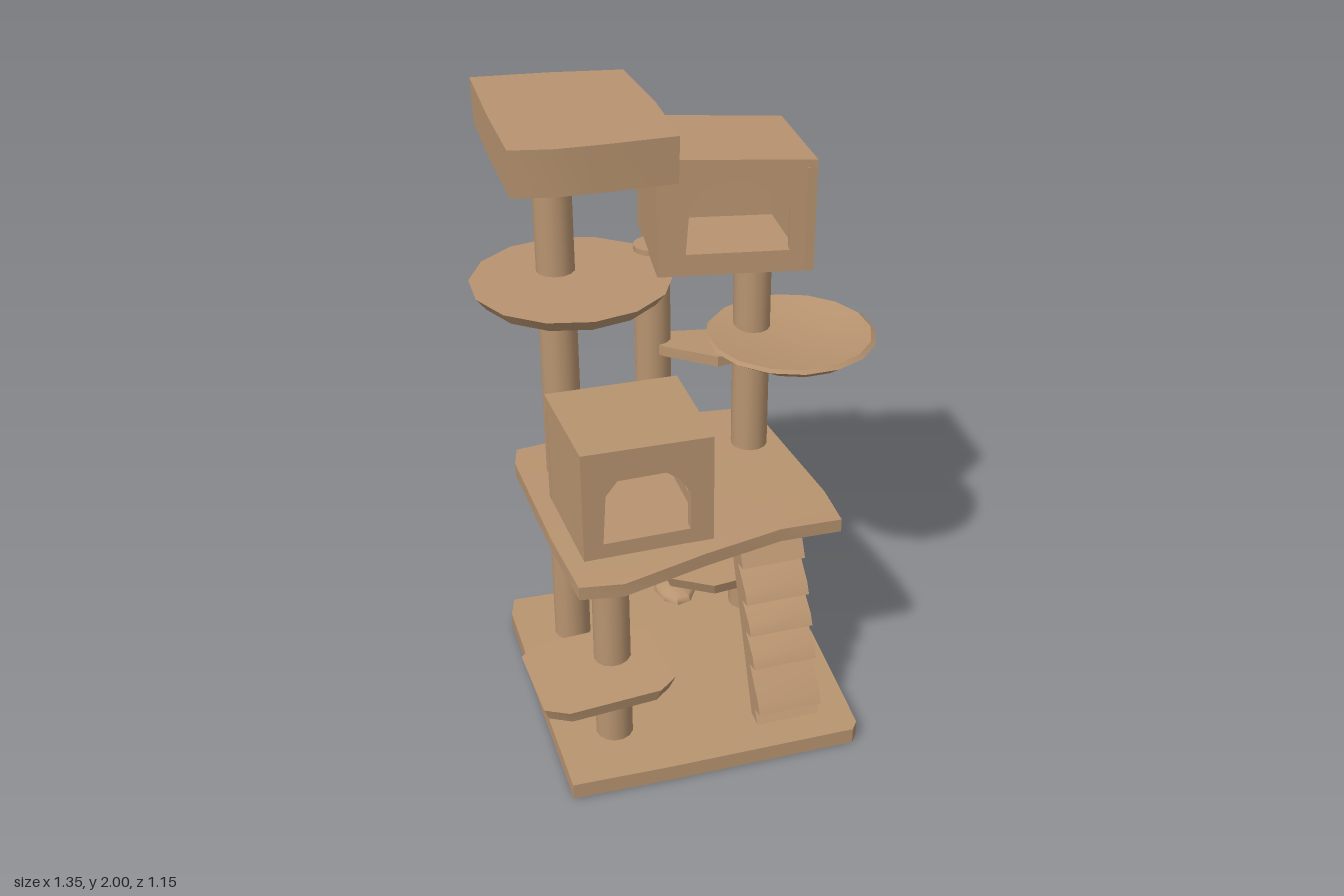
import * as THREE from 'three';
import { toCreasedNormals } from 'three/addons/utils/BufferGeometryUtils.js';

export function createModel() {
  const model = new THREE.Group();
  const carpet = new THREE.MeshStandardMaterial({ color: 0xb89470 });
  carpet.name = 'tan carpet';

  function add(geometry, name, parent = model) {
    const mesh = new THREE.Mesh(toCreasedNormals(geometry, 0.55), carpet);
    mesh.name = name;
    parent.add(mesh);
    return mesh;
  }

  // Moves every vertex by a rule
  function warp(geometry, rule) {
    const p = geometry.attributes.position;
    const v = new THREE.Vector3();
    for (let i = 0; i < p.count; i++) {
      v.fromBufferAttribute(p, i);
      rule(v);
      p.setXYZ(i, v.x, v.y, v.z);
    }
    return geometry;
  }

  // Flat board from an [x, z] outline; inset shrinks its underside
  function slab(name, outline, y0, y1, { inset = 0, lift = () => 0, parent = model } = {}) {
    const shape = new THREE.Shape(outline.map(([x, z]) => new THREE.Vector2(x, -z)));
    const g = new THREE.ExtrudeGeometry(shape, { depth: y1 - y0, bevelEnabled: false });
    g.rotateX(-Math.PI / 2).translate(0, y0, 0);
    const cx = outline.reduce((s, p) => s + p[0], 0) / outline.length;
    const cz = outline.reduce((s, p) => s + p[1], 0) / outline.length;
    warp(g, (v) => {
      if (v.y < (y0 + y1) / 2) {
        v.x += (cx - v.x) * inset;
        v.z += (cz - v.z) * inset;
      }
      v.y += lift(v.x, v.z);
    });
    return add(g, name, parent);
  }

  function post(name, x, z, y0, y1, r) {
    add(new THREE.CylinderGeometry(r * 0.97, r, y1 - y0, 14), name).position.set(x, (y0 + y1) / 2, z);
  }

  // Hollow box house; corners run front left, front right, back right, back left as drawn
  function house(name, corners, y0, y1, doors, slope) {
    const group = new THREE.Group();
    group.name = name;
    model.add(group);
    const t = 0.03;
    slab('houseFloor', corners, y0, y0 + t, { parent: group });
    slab('houseRoof', corners, y1 - t - 0.01, y1, { parent: group, lift: slope });
    corners.forEach(([x, z], i) => {
      const [nx, nz] = corners[(i + 1) % 4];
      const len = Math.hypot(nx - x, nz - z), h = y1 - y0 - t;
      const wall = new THREE.Shape([[0, 0], [len, 0], [len, h], [0, h]].map((p) => new THREE.Vector2(...p)));
      if (doors[i]) {
        const [a, b, low, high] = doors[i];
        const arch = [[0, 0], [0.04, 0.7], [0.2, 0.93], [0.42, 1], [0.65, 0.96], [0.87, 0.78], [1, 0.55], [1, 0]];
        wall.holes.push(new THREE.Path(arch.map(([u, v]) =>
          new THREE.Vector2((a + (b - a) * u) * len, low - y0 + (high - low) * v))));
      }
      const g = new THREE.ExtrudeGeometry(wall, { depth: t, bevelEnabled: false }).translate(0, 0, -t);
      const mesh = add(g, 'houseWall', group);
      mesh.position.set(x, y0, z);
      mesh.rotation.y = -Math.atan2(nz - z, nx - x);
    });
  }

  // Base and main platform
  slab('base', [[-0.61, 0.37], [-0.3, 0.445], [0.29, 0.575], [0.32, 0.55], [0.44, 0.1], [0.51, -0.3],
    [0.2, -0.41], [-0.12, -0.5], [-0.4, -0.57], [-0.44, -0.5], [-0.53, -0.05]], 0, 0.055,
  { lift: (x, z) => 0.005 - 0.01 * z });
  const lump = add(new THREE.SphereGeometry(1, 9, 6), 'baseFold');
  lump.scale.set(0.075, 0.04, 0.11);
  lump.position.set(0.14, 0.06, -0.36);
  lump.rotation.y = -0.25;
  slab('platform', [[-0.53, 0.3], [-0.4, 0.34], [-0.12, 0.33], [0.15, 0.325], [0.35, 0.36], [0.39, 0.2],
    [0.46, -0.37], [0.2, -0.45], [-0.38, -0.5], [-0.42, -0.42], [-0.5, 0.05]], 0.69, 0.735,
  { lift: (x, z) => 0.006 * Math.cos(x * 9) - 0.01 * x });

  // Posts
  post('tallPost', -0.285, -0.32, 0.04, 1.88, 0.062);
  post('rightPost', 0.333, -0.18, 0.04, 1.47, 0.062);
  post('middlePost', 0.04, -0.31, 0.7, 1.47, 0.06);
  post('shortPost', -0.382, 0.2, 0.04, 0.7, 0.06);

  // Low shelves
  slab('lowFrontShelf', [[-0.63, 0.06], [-0.57, 0.03], [-0.3, 0.09], [-0.235, 0.15], [-0.265, 0.4],
    [-0.33, 0.43], [-0.61, 0.375], [-0.67, 0.32]], 0.315, 0.36,
  { inset: 0.08, lift: (x) => 0.012 * (x + 0.45) / 0.2 });
  slab('lowBackShelf', [[-0.01, -0.14], [0.03, -0.22], [0.14, -0.36], [0.36, -0.37], [0.47, -0.28],
    [0.44, -0.04], [0.38, 0.06], [0.1, 0.0]], 0.275, 0.32,
  { inset: 0.08, lift: (x, z) => 0.07 * (x - 0.25) + 0.07 * (z + 0.15) });

  // Round shelf below the top tray
  const disc = [];
  for (let i = 0; i < 14; i++) {
    const a = (i / 14) * Math.PI * 2;
    disc.push([-0.27 + 0.308 * Math.cos(a), -0.24 + 0.31 * Math.sin(a)]);
  }
  slab('roundShelf', disc, 1.415, 1.455, { inset: 0.1, lift: (x, z) => 0.01 * z });

  // Hanging bowl and its bracket
  const bowl = [[0, 1.085], [0.13, 1.085], [0.21, 1.125], [0.275, 1.18], [0.262, 1.192], [0.15, 1.172], [0, 1.165]];
  const bowlGeometry = new THREE.LatheGeometry(bowl.map((p) => new THREE.Vector2(...p)), 16);
  warp(bowlGeometry, (v) => { v.x += 0.04 * (1.19 - v.y) / 0.1; v.z -= 0.02 * (1.19 - v.y) / 0.1; });
  add(bowlGeometry, 'bowl').position.set(0.398, 0, -0.05);
  slab('bowlBracket', [[0.0, -0.36], [0.05, -0.385], [0.12, -0.33], [0.37, -0.2], [0.3, -0.05], [0.14, -0.06],
    [0.04, -0.23]], 1.1, 1.135, { lift: (x, z) => 0.1 * (z + 0.3) });

  // Houses
  house('lowerHouse', [[-0.46, 0.19], [-0.06, 0.27], [0.02, -0.11], [-0.4, -0.19]], 0.735, 1.105,
    { 0: [0.15, 0.82, 0.79, 1.03], 1: [0.34, 0.89, 0.81, 1.0] }, (x) => -0.02 * (x + 0.2));
  house('upperHouse', [[-0.05, -0.1], [0.39, 0.08], [0.5, -0.3], [0.08, -0.48]], 1.46, 1.82,
    { 0: [0.18, 0.84, 1.53, 1.76] }, (x) => -0.045 * (x - 0.25));

  // Top tray
  slab('topTray', [[-0.56, 0.03], [-0.45, 0.08], [-0.33, 0.11], [-0.11, 0.155], [-0.04, -0.12], [0.01, -0.42],
    [-0.2, -0.505], [-0.42, -0.575], [-0.5, -0.25]], 1.863, 2.0, { inset: 0.01 });

  // Ramp with saw-tooth treads, drawn from the side as [z, y]
  const rampFront = (y) => 0.425 - 0.44 * (y - 0.06);
  const side = [[0.34, 0.05], [0.40, 0.05]];
  for (const y of [0.11, 0.25, 0.35, 0.445, 0.555]) {
    side.push([rampFront(y) - 0.035, y - 0.012], [rampFront(y) + 0.012, y], [rampFront(y + 0.035) + 0.008, y + 0.035]);
  }
  side.push([0.135, 0.7], [0.05, 0.7]);
  const rampShape = new THREE.Shape(side.map((p) => new THREE.Vector2(...p)));
  const rampGeometry = new THREE.ExtrudeGeometry(rampShape, { depth: 0.21, bevelEnabled: false });
  rampGeometry.translate(0, 0, -0.105).rotateY(-Math.PI / 2);
  const ramp = add(rampGeometry, 'ramp');
  ramp.position.set(0.215, 0, 0.045);
  ramp.rotation.y = -0.21;

  return model;
}
